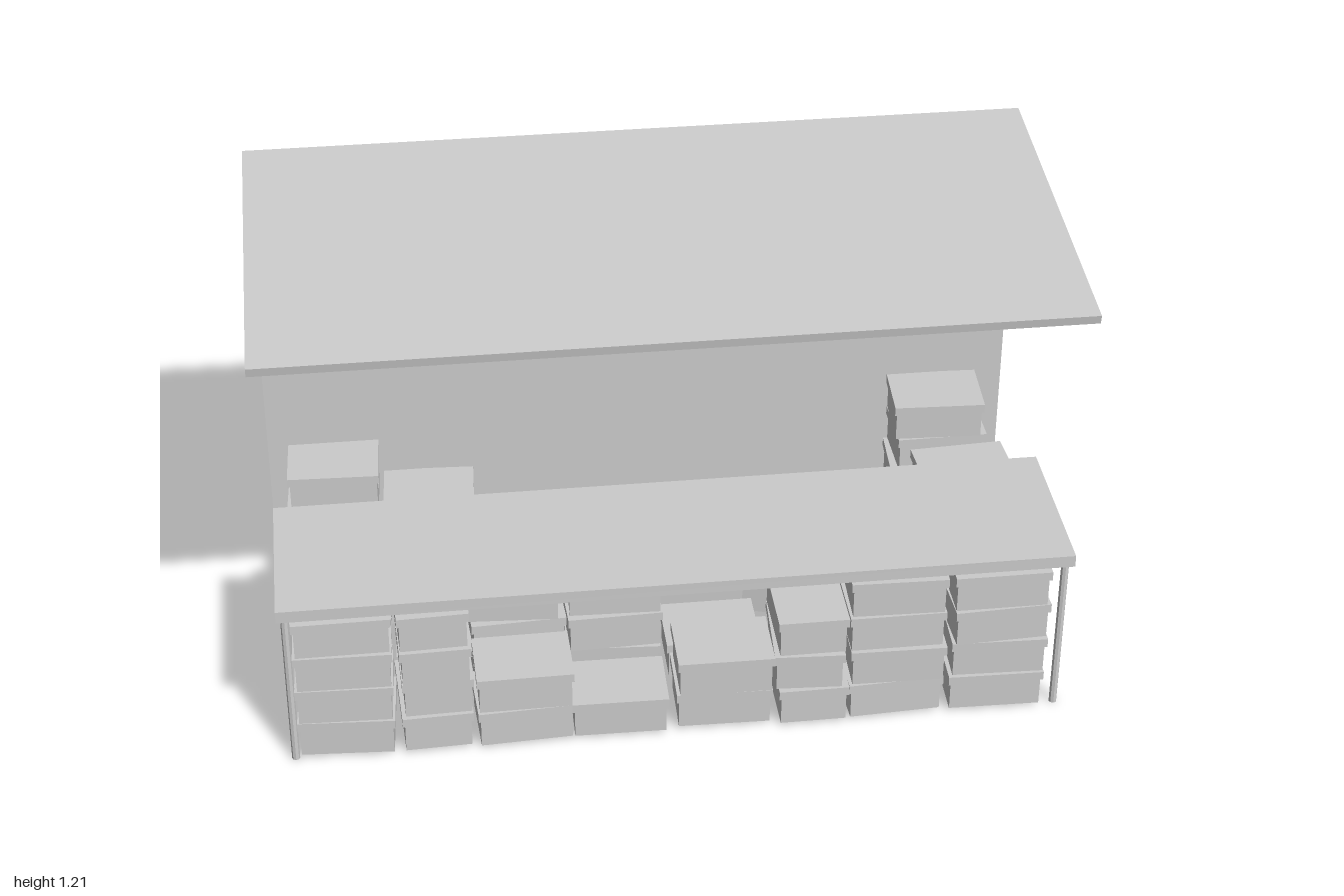
import * as THREE from 'three';

const material = new THREE.MeshStandardMaterial({ color: 0xcccccc, flatShading: true });

function block(name, w, h, d, x, y, z) {
  const mesh = new THREE.Mesh(new THREE.BoxGeometry(w, h, d), material);
  mesh.name = name;
  mesh.position.set(x, y, z);
  return mesh;
}

// Small seeded generator, returns -1..1
let seed = 7;
function jitter() {
  seed = (seed * 16807) % 2147483647;
  return (seed / 2147483647) * 2 - 1;
}

// Storage box: body with a slightly wider lid
function storageBox(x, y, z, angle) {
  const box = new THREE.Group();
  box.name = 'storageBox';
  box.add(block('boxBody', 0.23, 0.09, 0.165, 0, 0.045, 0));
  box.add(block('boxLid', 0.242, 0.024, 0.177, 0, 0.09, 0));
  box.position.set(x, y, z);
  box.rotation.y = angle;
  return box;
}

// Pile of boxes, each turned a little differently
function stack(x, z, count, turned = false) {
  const pile = new THREE.Group();
  pile.name = 'boxStack';
  for (let i = 0; i < count; i++) {
    const angle = (turned ? Math.PI / 2 : 0) + jitter() * 0.06;
    pile.add(storageBox(x + jitter() * 0.006, 0.01 + i * 0.1033, z + jitter() * 0.006, angle));
  }
  return pile;
}

export function createModel() {
  seed = 7;
  const stall = new THREE.Group();
  stall.name = 'marketStall';

  // Back wall
  stall.add(block('backWall', 2, 1.2, 0.02, 0, 0.6, -0.48));

  // Sloping roof: side profile (z, y) extruded across the width
  const profile = new THREE.Shape([
    [-0.49, 1.205], [-0.49, 1.187], [-0.47, 1.187], [0.424, 1.105], [0.428, 1.128],
  ].map(([z, y]) => new THREE.Vector2(-z, y)));
  const roofGeometry = new THREE.ExtrudeGeometry(profile, { depth: 2, bevelEnabled: false });
  roofGeometry.rotateY(Math.PI / 2).translate(-1, 0, 0);
  const roof = new THREE.Mesh(roofGeometry, material);
  roof.name = 'roof';
  stall.add(roof);

  // Counter
  const counter = new THREE.Group();
  counter.name = 'counter';
  counter.add(block('counterTop', 1.96, 0.032, 0.44, 0, 0.451, 0.255));
  for (const x of [-0.96, 0.96]) {
    for (const z of [0.455, 0.055]) {
      const leg = new THREE.Mesh(new THREE.CylinderGeometry(0.01, 0.01, 0.437, 8), material);
      leg.name = 'counterLeg';
      leg.position.set(x, 0.2185, z);
      counter.add(leg);
    }
  }
  stall.add(counter);

  // Box stacks: [x, z, count, turned sideways]
  const layout = [
    // front row under the counter
    [-0.83, 0.385, 4], [-0.605, 0.355, 4, true], [-0.39, 0.385, 2], [-0.145, 0.38, 1],
    [0.12, 0.38, 2], [0.335, 0.355, 3, true], [0.55, 0.385, 4], [0.805, 0.385, 4],
    // middle row
    [-0.83, 0.165, 4], [-0.6, 0.11, 4, true], [-0.39, 0.165, 3], [-0.14, 0.165, 4],
    [0.12, 0.165, 1], [0.55, 0.165, 4], [0.805, 0.165, 4],
    // rear row
    [-0.83, -0.02, 3], [-0.39, -0.02, 2], [0.55, -0.02, 3], [0.805, -0.015, 4],
    // against the wall
    [-0.83, -0.22, 2], [-0.83, -0.385, 3], [-0.58, -0.385, 2],
    [0.85, -0.225, 1], [0.6, -0.225, 2], [0.805, -0.385, 4],
  ];
  for (const [x, z, count, turned] of layout) stall.add(stack(x, z, count, turned));

  // A few boxes put down askew
  stall.add(storageBox(-0.62, 0.01, -0.17, 0.35));
  stall.add(storageBox(0.36, 0.01, -0.05, -0.3));

  return stall;
}
